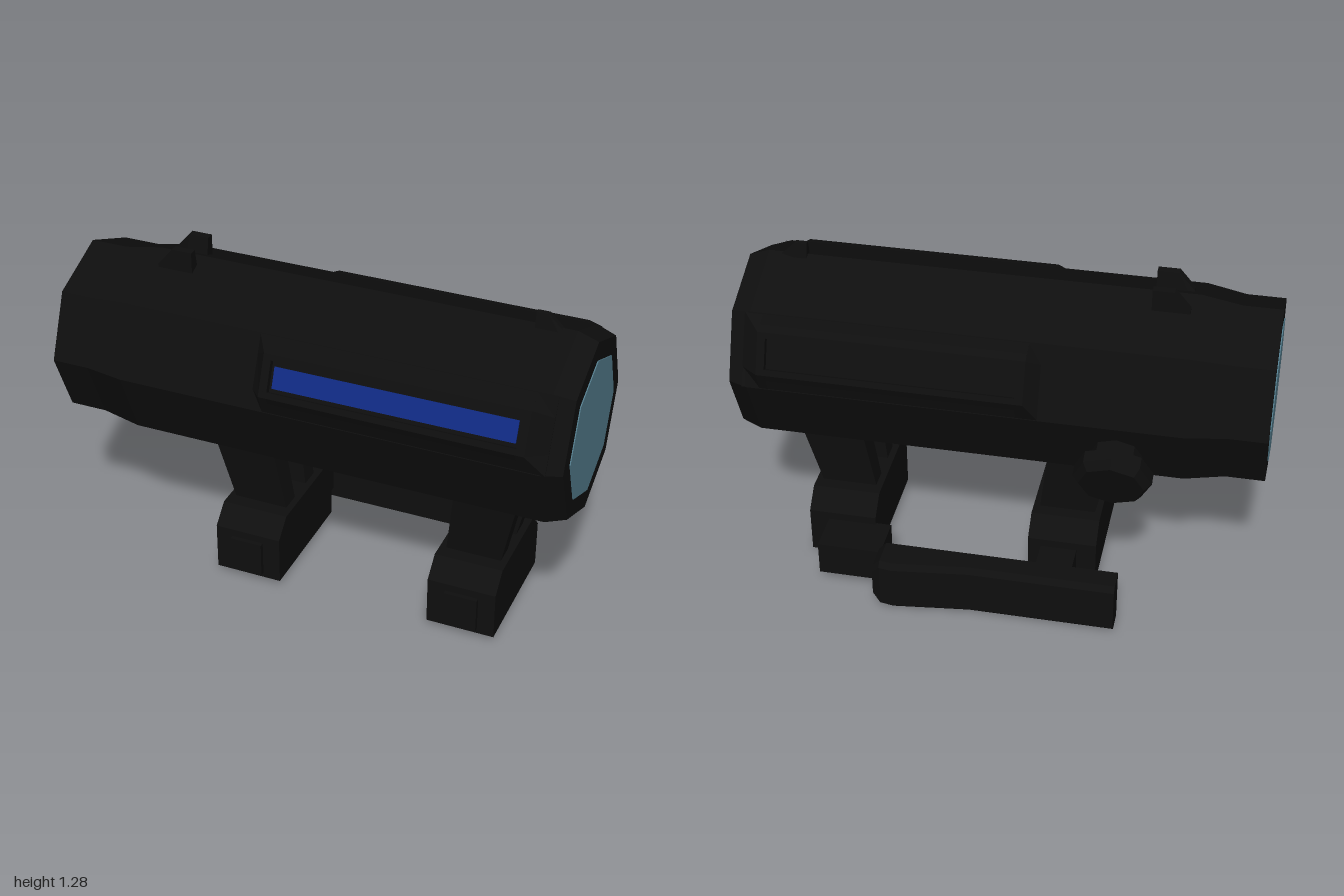
import * as THREE from 'three';

const CZ = 0.06, CY = 0.86; // tube axis

export function createModel() {
  const model = new THREE.Group();
  model.name = 'scope';
  const mat = (name, color) => {
    const m = new THREE.MeshStandardMaterial({ color });
    m.name = name;
    return m;
  };
  const black = mat('matte black', 0x0e0e0e);
  const glass = mat('lens glass', 0x527b8b);
  const blue = mat('blue strip', 0x102a82);

  // Adds a mesh with faceted normals
  const add = (name, geo, material = black) => {
    const g = geo.index ? geo.toNonIndexed() : geo;
    g.computeVertexNormals();
    const mesh = new THREE.Mesh(g, material);
    mesh.name = name;
    model.add(mesh);
    return mesh;
  };

  // Joins rings of [x, y, z] points and caps both ends
  const loft = (rings) => {
    const v = [], n = rings[0].length;
    const tri = (a, b, c) => v.push(...a, ...b, ...c);
    for (let r = 0; r < rings.length - 1; r++) {
      for (let i = 0; i < n; i++) {
        const j = (i + 1) % n, p = rings[r], q = rings[r + 1];
        tri(p[i], p[j], q[j]);
        tri(p[i], q[j], q[i]);
      }
    }
    const first = rings[0], last = rings[rings.length - 1];
    for (let i = 1; i < n - 1; i++) {
      tri(first[0], first[i + 1], first[i]);
      tri(last[0], last[i], last[i + 1]);
    }
    const g = new THREE.BufferGeometry();
    g.setAttribute('position', new THREE.Float32BufferAttribute(v, 3));
    return g;
  };
  // Places a [z, y] section at x
  const sec = (x, pts) => pts.map(([z, y]) => [x, y, z]);
  // Mirrors a section to the far side of the tube when s is -1
  const side = (pts, s) => (s > 0 ? pts : pts.map(([z, y]) => [2 * CZ - z, y]).reverse());
  const prism = (x0, x1, pts) => loft([sec(x0, pts), sec(x1, pts)]);
  const octagon = (r) => Array.from({ length: 8 }, (_, k) => {
    const a = (k * Math.PI) / 4;
    return [CZ + r * Math.sin(a), CY + r * Math.cos(a)];
  });
  const box = (name, x0, x1, y0, y1, z0, z1) => add(name,
    new THREE.BoxGeometry(x1 - x0, y1 - y0, z1 - z0)
      .translate((x0 + x1) / 2, (y0 + y1) / 2, (z0 + z1) / 2));

  // Main tube and lenses
  const profile = [[-0.996, 0.345], [-0.85, 0.345], [-0.7, 0.372], [0.92, 0.372], [0.996, 0.345]];
  add('tube', loft(profile.map(([x, r]) => sec(x, octagon(r)))));
  add('frontLens', prism(0.994, 1, octagon(0.27)), glass);
  add('rearLens', prism(-1, -0.994, octagon(0.27)), glass);

  // Raised side housings with a recessed channel
  const A = [0.32, 1.12], B = [0.4, 1.09], C = [0.46, 0.94], D = [0.43, 0.86], E = [0.25, 0.95];
  const Bi = [0.37, 1.102], Ci = [0.447, 0.91];
  const full = [A, B, C, D, E];
  const flat = [A, [0.35, 1.05], [0.4, 0.93], D, E];
  for (const s of [1, -1]) {
    const tag = s > 0 ? 'front' : 'back';
    add(tag + 'ChannelFloor', prism(-0.12, 0.87, side([A, Bi, Ci, D, E], s)));
    add(tag + 'UpperRail', prism(-0.12, 0.87, side([Bi, B, [0.408, 1.069], [0.387, 1.06]], s)));
    add(tag + 'LowerRail', prism(-0.12, 0.87, side([[0.431, 0.952], [0.452, 0.961], C, Ci], s)));
    add(tag + 'HousingRearEnd', loft([
      sec(-0.17, side(flat, s)), sec(-0.12, side(full, s)), sec(-0.09, side(full, s))]));
    add(tag + 'HousingFrontEnd', loft([
      sec(0.84, side(full, s)), sec(0.87, side(full, s)), sec(0.94, side(flat, s))]));
  }
  add('blueStrip', prism(-0.08, 0.83,
    [[0.39, 1.038], [0.4, 1.042], [0.43, 0.967], [0.42, 0.963]]), blue);

  // Sights: two rear posts and one front post
  const rearPost = (h) => [[0.115, h], [0.145, h], [0.145, 1.17], [0.095, 1.17]];
  for (const s of [1, -1]) {
    add('rearSightPost', loft([[-0.67, 1.21], [-0.61, 1.28], [-0.53, 1.28]]
      .map(([x, h]) => sec(x, side(rearPost(h), s)))));
  }
  add('frontSightPost', loft([[0.77, 1.28], [0.815, 1.28], [0.87, 1.225]]
    .map(([x, h]) => sec(x, [[0.05, h], [0.07, h], [0.087, 1.2], [0.033, 1.2]]))));

  // Two mounts mirrored about their own middle, each with a foot and two struts
  const MX = 0.186;
  const footProfile = [[0.245, 0.28], [0.315, 0.21], [0.315, 0.02],
    [-0.19, 0.02], [-0.19, 0.21], [-0.12, 0.28]];
  const rect = (y, xa, xb, za, zb) => {
    const x0 = Math.min(xa, xb), x1 = Math.max(xa, xb);
    const z0 = Math.min(za, zb), z1 = Math.max(za, zb);
    return [[x0, y, z0], [x0, y, z1], [x1, y, z1], [x1, y, z0]];
  };
  for (const m of [1, -1]) {
    const fx = (x) => (m > 0 ? x : 2 * MX - x);
    const span = (a, b) => [fx(a), fx(b)].sort((p, q) => p - q);
    add('mountFoot', prism(...span(0.49, 0.756), footProfile));
    box('footPlate', ...span(0.56, 0.69), 0.04, 0.18, 0.3, 0.333);
    box('leverLink', ...span(m > 0 ? 0.43 : 0.54, 0.68), 0.04, 0.178, -0.35, -0.18);
    for (const s of [1, -1]) {
      const fz = (z) => (s > 0 ? z : 2 * CZ - z);
      add('strut', loft([
        rect(0.27, fx(0.514), fx(0.728), fz(0.11), fz(0.188)),
        rect(0.58, fx(0.552), fx(0.795), fz(0.132), fz(0.232))]));
    }
  }

  // Clamp lever behind the feet
  const bar = (x, o, y0, y1) => sec(x, [[-0.33, y1], [-0.33, y0], [-o + 0.02, y0],
    [-o, y0 + 0.02], [-o, y1 - 0.02], [-o + 0.02, y1]]);
  add('clampLever', loft([bar(-0.49, 0.43, 0, 0.213), bar(0.07, 0.43, 0, 0.213),
    bar(0.36, 0.465, 0, 0.213), bar(0.41, 0.457, 0, 0.213), bar(0.44, 0.445, 0.035, 0.178)]));

  // Adjustment knob on the lower back face
  const knobProfile = [[0.095, -0.1], [0.095, 0], [0.145, 0], [0.145, 0.045], [0.12, 0.075], [0, 0.075]]
    .map(([r, y]) => new THREE.Vector2(r, y));
  const knob = add('adjustmentKnob', new THREE.LatheGeometry(knobProfile, 8));
  knob.position.set(-0.455, 0.685, -0.31);
  knob.quaternion.setFromUnitVectors(new THREE.Vector3(0, 1, 0),
    new THREE.Vector3(0, -0.383, -0.924).normalize());

  return model;
}
